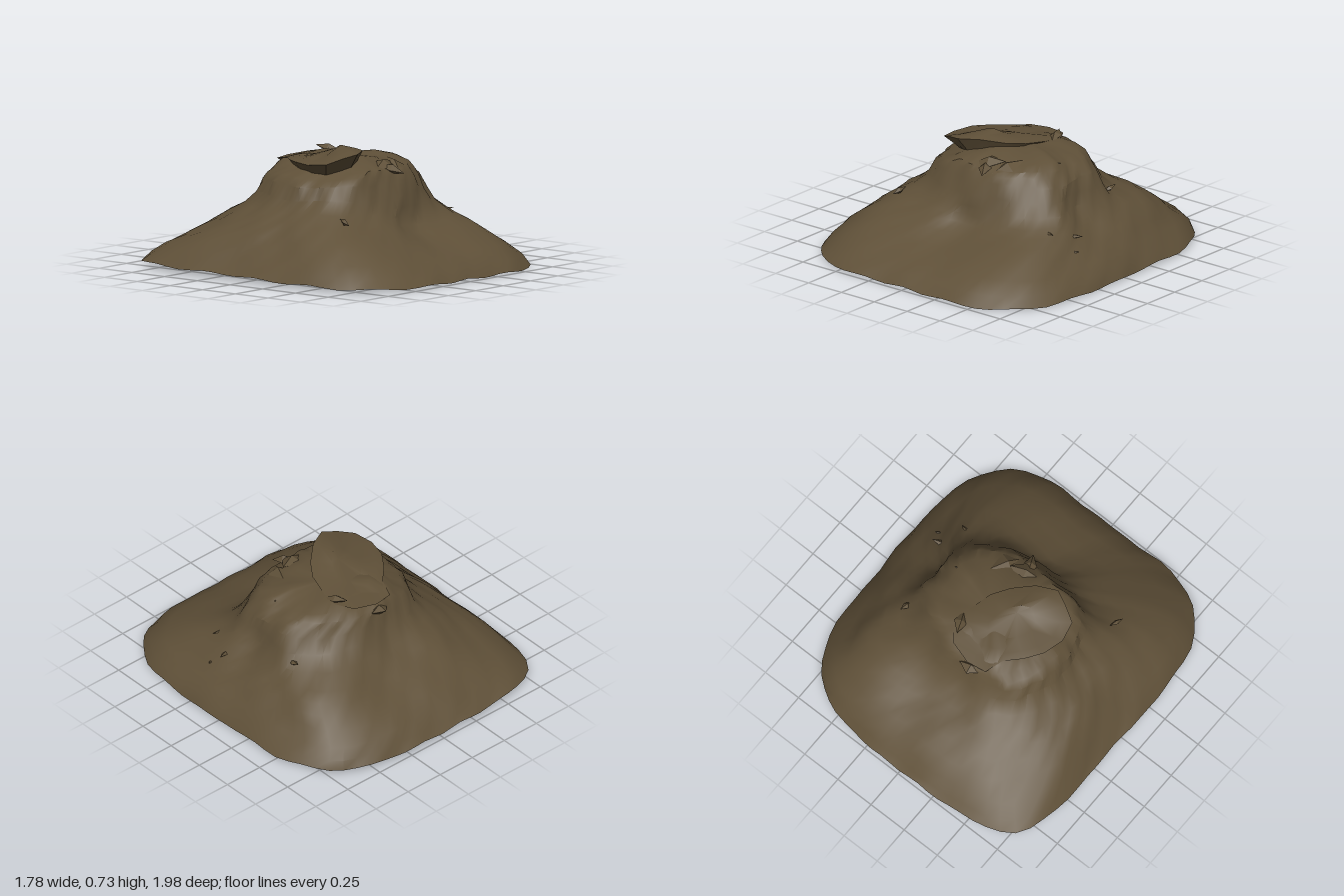
import * as THREE from 'three';
import { toCreasedNormals } from 'three/addons/utils/BufferGeometryUtils.js';

const earth = new THREE.MeshStandardMaterial({ color: 0x5f5038, side: THREE.DoubleSide });
earth.name = 'brown earth';

// Closed rings stacked bottom to top, finished with a fan to one peak point
function loft(rings, peak) {
  const n = rings[0].length, pos = [], index = [];
  rings.forEach(r => r.forEach(p => pos.push(p[0], p[1], p[2])));
  pos.push(...peak);
  const last = rings.length - 1, tip = rings.length * n;
  for (let j = 0; j < n; j++) {
    const k = (j + 1) % n;
    for (let i = 0; i < last; i++) {
      const a = i * n + j, b = i * n + k, c = a + n, d = b + n;
      index.push(a, c, b, b, c, d);
    }
    index.push(last * n + j, tip, last * n + k);
  }
  const g = new THREE.BufferGeometry();
  g.setAttribute('position', new THREE.Float32BufferAttribute(pos, 3));
  g.setIndex(index);
  return toCreasedNormals(g, 0.6);
}

function addMesh(group, name, geometry) {
  const m = new THREE.Mesh(geometry, earth);
  m.name = name;
  group.add(m);
  return m;
}

// Contours: height, left reach, right reach, back reach, front reach, squareness
const CONTOURS = [
  [0.03, 0.885, 0.885, 0.985, 0.985, 5],
  [0.08, 0.85, 0.85, 0.945, 0.93, 4.8],
  [0.14, 0.80, 0.79, 0.89, 0.84, 4.2],
  [0.20, 0.74, 0.74, 0.80, 0.73, 3.6],
  [0.25, 0.69, 0.70, 0.71, 0.63, 3.3],
  [0.29, 0.645, 0.66, 0.63, 0.56, 3.0],
  [0.33, 0.60, 0.63, 0.57, 0.50, 2.9],
  [0.38, 0.53, 0.59, 0.50, 0.45, 2.6],
  [0.45, 0.455, 0.55, 0.44, 0.41, 2.5],
  [0.53, 0.43, 0.51, 0.40, 0.375, 2.5],
  [0.57, 0.39, 0.47, 0.385, 0.355, 2.4],
  [0.60, 0.31, 0.44, 0.37, 0.335, 2.4],
  [0.63, 0.27, 0.39, 0.33, 0.26, 2.4],
  [0.655, 0.18, 0.28, 0.25, 0.17, 2.3],
];

// Swellings and hollows: strength, angle, angular width, height, height width
const LOBES = [
  [0.13, -0.85, 0.33, 0.31, 0.09],   // back right shoulder
  [0.09, 2.35, 0.30, 0.28, 0.10],    // front left shoulder
  [-0.09, 0.05, 0.28, 0.38, 0.12],   // side gully
  [-0.16, 1.45, 0.36, 0.28, 0.09],   // hollow below the front cliff
  [-0.20, 2.75, 0.50, 0.63, 0.04],   // undercut below the slab
  [-0.06, -0.80, 0.25, 0.03, 0.08],  // trimmed foot corners
  [-0.03, 0.80, 0.25, 0.03, 0.08],
  [-0.02, 2.35, 0.20, 0.03, 0.08],
];

function hillRing([y, left, right, back, front, n], level) {
  const ring = [], seg = 80;
  for (let j = 0; j < seg; j++) {
    const a = j / seg * Math.PI * 2, c = Math.cos(a), s = Math.sin(a);
    let r = (Math.abs(c) ** n + Math.abs(s) ** n) ** (-1 / n);
    let swell = 1;
    for (const [k, a0, aw, y0, yw] of LOBES) {
      const d = Math.atan2(Math.sin(a - a0), Math.cos(a - a0));
      swell += k * Math.exp(-((d / aw) ** 2) - ((y - y0) / yw) ** 2);
    }
    // weathering grows with height, the foot only ripples
    const rough = 0.007 + 0.02 * Math.min(1, y / 0.4);
    r *= swell * (1 + rough * (Math.sin(7 * a + 9 * y) * 0.6 + Math.sin(13 * a - 14 * y + 1) * 0.4
      + Math.sin(23 * a + level * 2.3) * 0.4));
    const foot = level === 0 ? -0.01 * c - 0.012 * s + 0.006 * Math.sin(17 * a) - 0.001
      : 0.008 * Math.sin(5 * a + level);
    ring.push([c * r * (c < 0 ? left : right), y + foot, s * r * (s < 0 ? back : front)]);
  }
  return ring;
}

// Outline of the tilted, overhanging summit slab: x, z, rim height
const SLAB = [
  [0.17, -0.12, 0.66], [0.13, 0.02, 0.675], [0.06, 0.12, 0.69], [-0.05, 0.22, 0.715],
  [-0.17, 0.28, 0.71], [-0.26, 0.24, 0.69], [-0.35, 0.19, 0.66], [-0.375, 0.07, 0.65],
  [-0.34, -0.06, 0.655], [-0.27, -0.16, 0.65], [-0.18, -0.25, 0.645], [-0.14, -0.36, 0.625],
  [-0.02, -0.38, 0.63], [0.12, -0.34, 0.64], [0.19, -0.24, 0.655],
];
// Scale of the outline, and blend from neck level (0) to rim level (1), and lift
const SLAB_RINGS = [[0.66, 0, 0], [0.82, 0.5, 0], [1, 1, 0], [0.8, 1, 0.01], [0.4, 1, 0.02]];
const slabRing = ([k, blend, lift]) => SLAB.map(([x, z, y]) =>
  [-0.08 + (x + 0.08) * k, 0.56 + (y - 0.56) * blend + lift, -0.04 + (z + 0.04) * k]);

// Broken flakes set into the ground: x, y, z, width, height, depth, turn
const FLAKES = [
  [0.07, 0.62, 0.27, 0.10, 0.035, 0.07, 0.3], [0.19, 0.61, 0.25, 0.11, 0.03, 0.07, 1.1],
  [0.08, 0.60, 0.33, 0.08, 0.03, 0.04, 2.0], [0.33, 0.61, 0.07, 0.09, 0.025, 0.03, 0.4],
  [0.16, 0.665, -0.22, 0.04, 0.025, 0.08, 0.4], [-0.04, 0.58, -0.38, 0.07, 0.03, 0.05, 0.2],
  [0.65, 0.27, 0.20, 0.06, 0.012, 0.02, 0.3], [0.56, 0.31, 0.34, 0.06, 0.012, 0.02, -0.2],
  [0.69, 0.20, 0.27, 0.05, 0.012, 0.02, 0.4], [-0.48, 0.36, 0.44, 0.05, 0.02, 0.015, 1.3],
  [0.53, 0.41, -0.27, 0.05, 0.015, 0.02, 1.4], [-0.16, 0.30, 0.48, 0.09, 0.015, 0.025, 0.6],
];

export function createModel() {
  const model = new THREE.Group();
  model.name = 'rockyHill';

  // Hollow hill shell, open underneath
  addMesh(model, 'hillside', loft(CONTOURS.map(hillRing), [0.06, 0.665, -0.05]));

  // Summit slab with an undercut rim
  addMesh(model, 'summitSlab', loft(SLAB_RINGS.map(slabRing), [-0.07, 0.71, 0.02]));

  const flakes = new THREE.Group();
  flakes.name = 'rockFlakes';
  FLAKES.forEach(([x, y, z, w, h, d, turn]) => {
    const m = addMesh(flakes, 'flake', new THREE.OctahedronGeometry(1, 0));
    m.scale.set(w, h, d);
    m.position.set(x, y, z);
    m.rotation.set(0.2, turn, 0.1);
  });
  model.add(flakes);
  return model;
}
